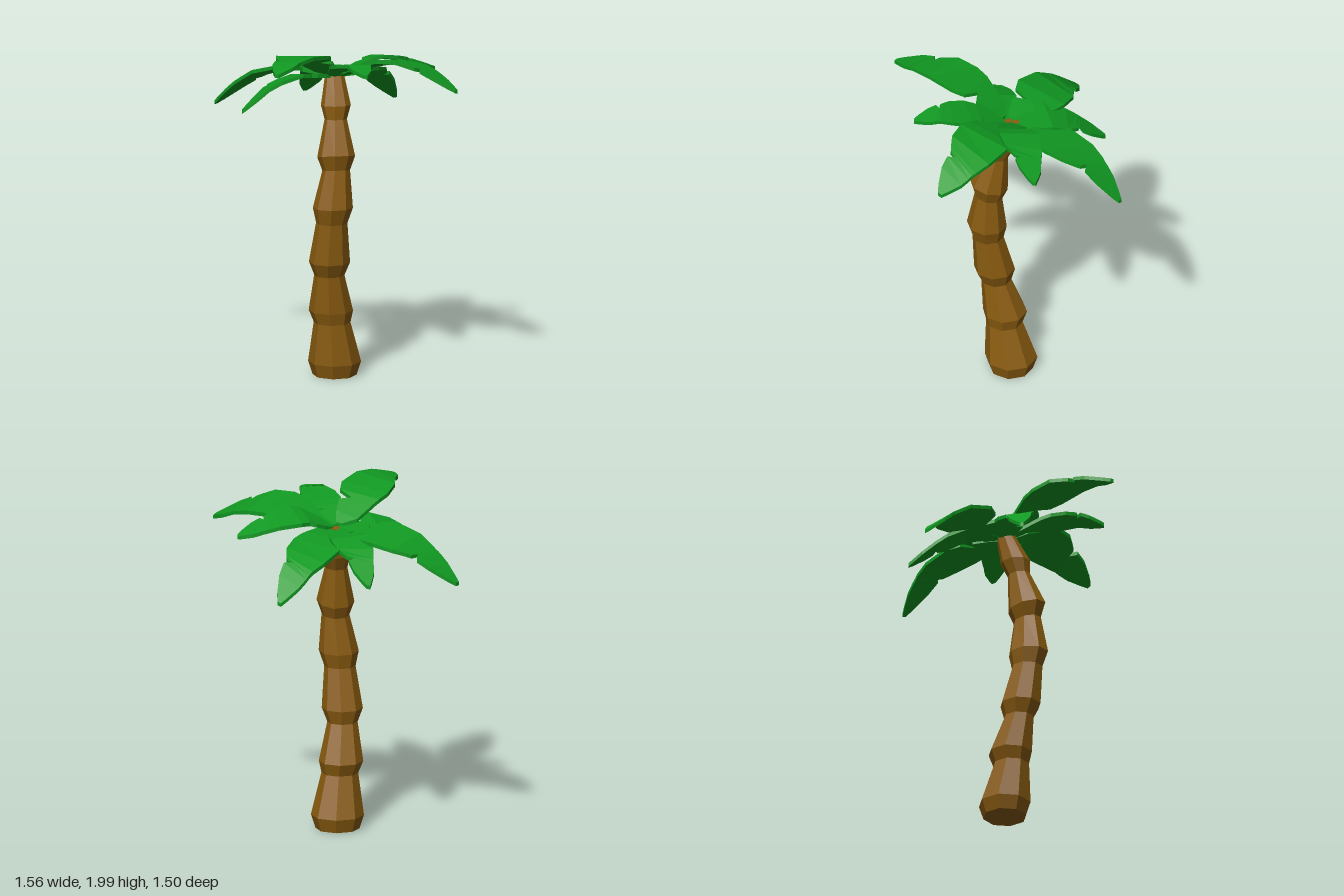
import * as THREE from 'three';

const bark = new THREE.MeshStandardMaterial({ color: 0x8a5c10, flatShading: true });
const green = new THREE.MeshStandardMaterial({ color: 0x119922, flatShading: true });

// Closed solid through a list of rings, each with the same number of points
function loft(rings) {
  const n = rings[0].length, last = (rings.length - 1) * n, index = [];
  for (let i = 0; i < rings.length - 1; i++) {
    for (let j = 0; j < n; j++) {
      const a = i * n + j, b = i * n + (j + 1) % n;
      index.push(a, a + n, b + n, a, b + n, b);
    }
  }
  for (let j = 1; j < n - 1; j++) {
    index.push(0, j, j + 1, last, last + j + 1, last + j);
  }
  const g = new THREE.BufferGeometry();
  g.setAttribute('position', new THREE.Float32BufferAttribute(rings.flat(2), 3));
  g.setIndex(index);
  const flat = g.toNonIndexed();
  flat.computeVertexNormals();
  return flat;
}

// Trunk joints: height, centre x, centre z, radius, tilt
const TRUNK = [
  [0, -0.015, -0.012, 0.122, 0],
  [0.08, -0.015, -0.012, 0.147, 0],
  [0.32, -0.01, 0.03, 0.102, 0],
  [0.39, -0.018, 0.03, 0.123, 0],
  [0.61, -0.003, 0.08, 0.084, 0],
  [0.69, 0.002, 0.088, 0.114, 0],
  [0.93, 0.03, 0.115, 0.087, 0],
  [1.02, 0.039, 0.118, 0.111, 0.05],
  [1.24, 0.051, 0.1, 0.077, 0.15],
  [1.32, 0.05, 0.098, 0.105, 0.2],
  [1.53, 0.027, 0.058, 0.062, 0.1],
  [1.61, 0.019, 0.04, 0.083, 0.08],
  [1.78, -0.013, -0.008, 0.052, 0],
];

function trunkGeometry() {
  return loft(TRUNK.map(([y, cx, cz, r, tilt]) =>
    Array.from({ length: 8 }, (_, j) => {
      const a = (j + 0.5) * Math.PI / 4;
      const x = Math.cos(a) * r * 1.04, z = Math.sin(a) * r * 1.04;
      return [cx + x, y + tilt * (z + 0.7 * x), cz + z];
    })));
}

// Frond outline: distance and offset of one edge, then of the other edge
const FROND = [
  [0.03, 0.02, 0.03, -0.02],
  [0.08, 0.09, 0.1, -0.06],
  [0.18, 0.12, 0.18, -0.09],
  [0.2, 0.125, 0.21, -0.025],
  [0.24, 0.14, 0.245, -0.12],
  [0.32, 0.155, 0.32, -0.15],
  [0.44, 0.145, 0.49, -0.13],
  [0.51, 0.11, 0.58, -0.1],
  [0.535, 0.095, 0.605, -0.09],
  [0.55, 0.045, 0.615, -0.088],
  [0.57, 0.095, 0.63, -0.085],
  [0.64, 0.085, 0.68, -0.068],
  [0.73, 0.045, 0.74, -0.03],
  [0.77, 0.02, 0.775, -0.005],
];

// Height along a bent midrib
function heightAt(rib, d) {
  let i = 1;
  while (i < rib.length - 1 && rib[i][0] < d) i++;
  const [d0, y0] = rib[i - 1], [d1, y1] = rib[i];
  return y0 + (y1 - y0) * (d - d0) / (d1 - d0);
}

function frondGeometry(turn, length, shift, rib) {
  const a = turn * Math.PI / 4, k = length / 0.775;
  const sin = Math.sin(a), cos = Math.cos(a);
  const roll = -0.12 * cos + 0.2 * sin; // the whole crown leans
  const point = (d, s, lift) => {
    const off = s * k + shift * Math.sin(Math.PI * Math.min(1, d / 0.775));
    return [
      sin * d * k - cos * off,
      heightAt(rib, d * k) + roll * off + lift,
      cos * d * k + sin * off,
    ];
  };
  return loft(FROND.map(([d1, s1, d2, s2]) => [
    point(d1, s1, 0.01), point(d2, s2, 0.01),
    point(d2, s2, -0.012), point(d1, s1, -0.012),
  ]));
}

// Fronds: eighth turns from the front, length, sideways shift, midrib
const FRONDS = [
  ['frontFrond', 0, 0.75, 0.035,
    [[0, 1.77], [0.1, 1.84], [0.25, 1.93], [0.43, 1.975], [0.6, 1.965], [0.75, 1.93]]],
  ['frontLeftFrond', 1, 0.56, 0,
    [[0, 1.77], [0.2, 1.87], [0.4, 1.92], [0.56, 1.89]]],
  ['leftFrond', 2, 0.78, -0.03,
    [[0, 1.77], [0.15, 1.83], [0.3, 1.89], [0.45, 1.895], [0.6, 1.85], [0.78, 1.76]]],
  ['backLeftFrond', 3, 0.6, 0,
    [[0, 1.77], [0.22, 1.87], [0.38, 1.85], [0.6, 1.77]]],
  ['backFrond', 4, 0.75, -0.03,
    [[0, 1.77], [0.2, 1.765], [0.4, 1.73], [0.55, 1.67], [0.65, 1.585], [0.75, 1.49]]],
  ['backRightFrond', 5, 0.58, 0,
    [[0, 1.77], [0.25, 1.77], [0.4, 1.7], [0.58, 1.56]]],
  ['rightFrond', 6, 0.78, 0.035,
    [[0, 1.77], [0.2, 1.79], [0.37, 1.79], [0.5, 1.74], [0.62, 1.665], [0.78, 1.53]]],
  ['frontRightFrond', 7, 0.57, 0,
    [[0, 1.77], [0.25, 1.79], [0.4, 1.74], [0.57, 1.6]]],
];

export function createModel() {
  const tree = new THREE.Group();
  tree.name = 'palmTree';

  const trunk = new THREE.Mesh(trunkGeometry(), bark);
  trunk.name = 'trunk';
  tree.add(trunk);

  const crown = new THREE.Group();
  crown.name = 'crown';
  for (const [name, turn, length, shift, rib] of FRONDS) {
    const frond = new THREE.Mesh(frondGeometry(turn, length, shift, rib), green);
    frond.name = name;
    crown.add(frond);
  }
  tree.add(crown);
  return tree;
}
